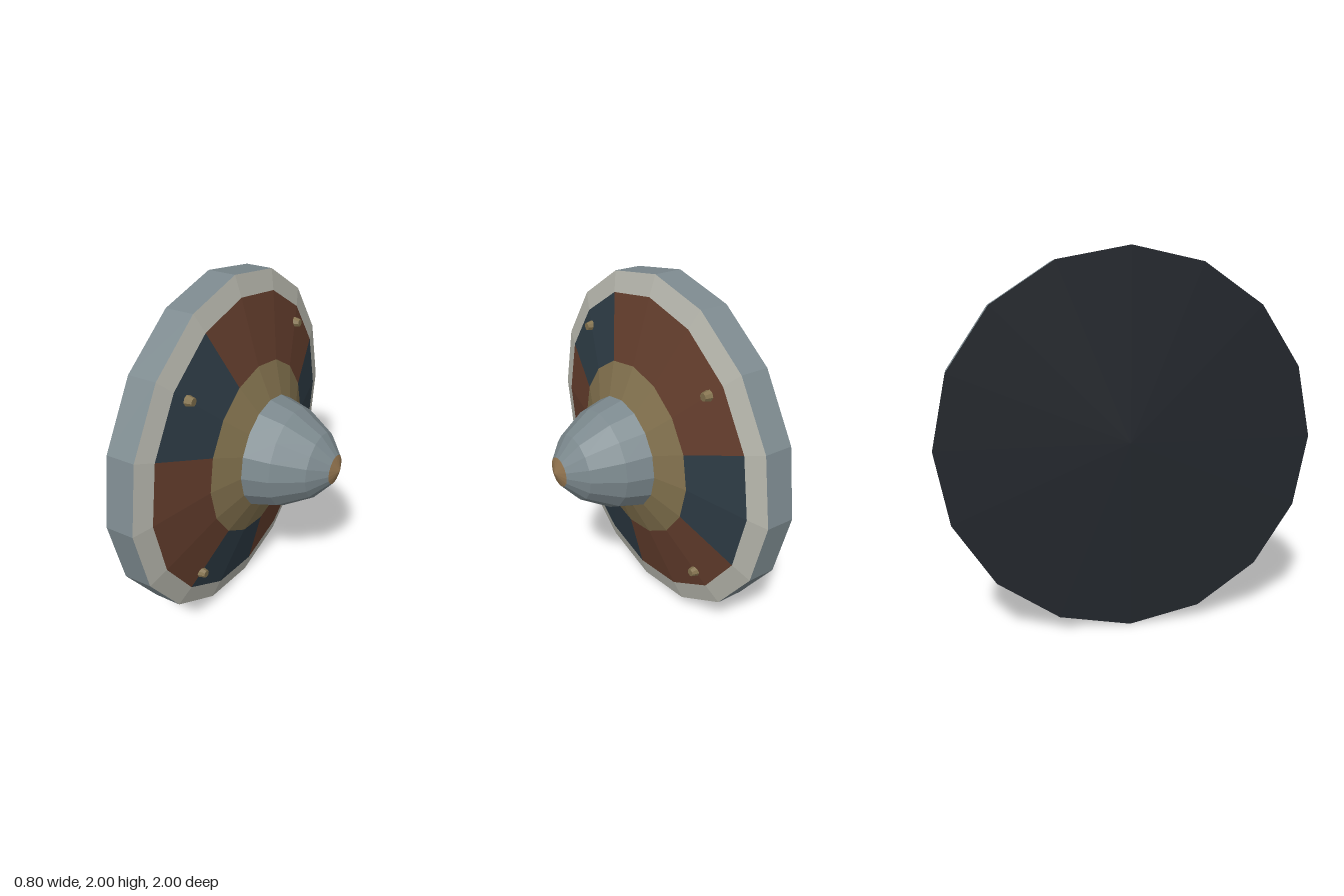
import * as THREE from 'three';

const SIDES = 16;
const STEP = (Math.PI * 2) / SIDES;

function paint(name, color) {
  const m = new THREE.MeshStandardMaterial({ color, flatShading: true });
  m.name = name;
  return m;
}

export function createModel() {
  const steel = paint('steel', 0x7c898e);
  const paleEdge = paint('pale edge', 0xbabab0);
  const brown = paint('brown leather', 0x663f2e);
  const blue = paint('dark blue', 0x2f3d47);
  const bronze = paint('bronze', 0x84734f);
  const tipBronze = paint('tip bronze', 0x957650);
  const dark = paint('dark backing', 0x22262c);

  const shield = new THREE.Group();
  shield.name = 'roundShield';

  // Faceted surface of revolution; profile pairs are [radius, height along axis]
  function ring(name, profile, material, first = 0, count = SIDES) {
    const points = profile.map(([r, h]) => new THREE.Vector2(r, h));
    const geometry = new THREE.LatheGeometry(points, count, Math.PI + first * STEP, count * STEP);
    const mesh = new THREE.Mesh(geometry, material);
    mesh.name = name;
    shield.add(mesh);
  }

  // Backing, rim wall and bevelled front edge
  ring('back', [[0, -0.4], [1, -0.4]], dark);
  ring('rimWall', [[1, -0.4], [1, -0.24]], steel);
  ring('rimFront', [[1, -0.24], [0.885, -0.205]], paleEdge);

  // Alternating painted sectors: [first side, number of sides, material]
  const face = [[0.885, -0.205], [0.515, -0.11]];
  [
    [-1, 2, blue], [1, 4, brown], [5, 2, blue],
    [7, 3, brown], [10, 2, blue], [12, 3, brown],
  ].forEach(([first, count, material], i) => ring('sector' + (i + 1), face, material, first, count));

  // Collar and pointed boss
  ring('collar', [[0.515, -0.11], [0.325, -0.035]], bronze);
  ring('boss', [[0.33, -0.04], [0.29, 0.11], [0.19, 0.28], [0.085, 0.37]], steel);
  ring('bossTip', [[0.085, 0.37], [0, 0.4]], tipBronze);

  // Four rivets on the diagonals
  for (const sx of [-1, 1]) {
    for (const sz of [-1, 1]) {
      const rivet = new THREE.Mesh(new THREE.CylinderGeometry(0.022, 0.031, 0.04, 8), bronze);
      rivet.name = 'rivet';
      rivet.position.set(sx * 0.555, -0.165, sz * 0.555);
      shield.add(rivet);
    }
  }

  // Stand the disc upright, boss pointing along +x
  shield.rotation.z = -Math.PI / 2;
  shield.position.y = 1;

  const model = new THREE.Group();
  model.name = 'shieldModel';
  model.add(shield);
  return model;
}
